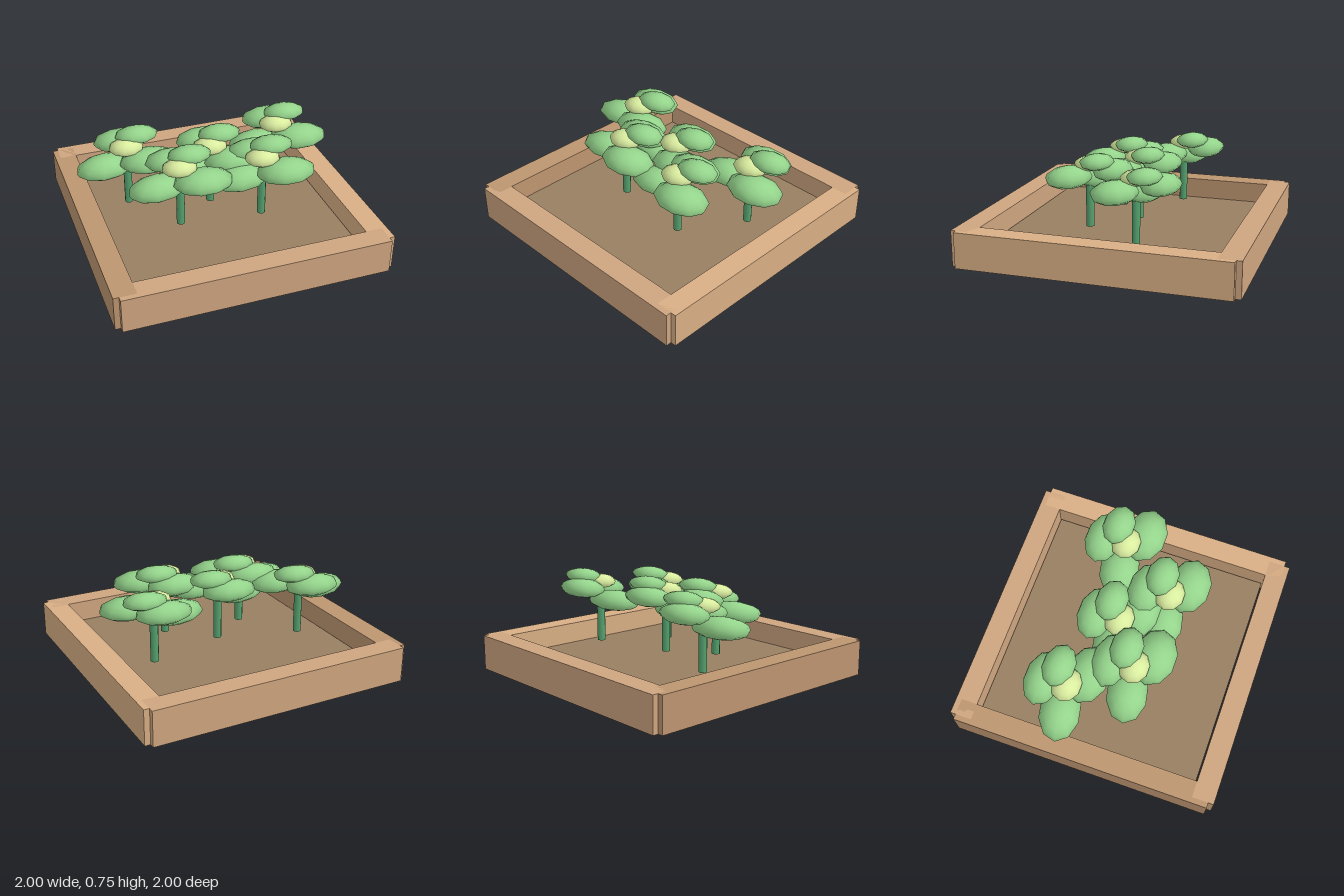
import * as THREE from 'three';

const mat = (color) => new THREE.MeshStandardMaterial({ color });

function add(parent, name, geometry, material, x, y, z) {
  const mesh = new THREE.Mesh(geometry, material);
  mesh.name = name;
  mesh.position.set(x, y, z);
  parent.add(mesh);
  return mesh;
}

// Flattened ball that keeps round, sphere-like shading
function leafGeometry(rx, ry, rz) {
  const geometry = new THREE.SphereGeometry(1, 10, 8);
  geometry.attributes.position.applyMatrix4(new THREE.Matrix4().makeScale(rx, ry, rz));
  return geometry;
}

export function createModel() {
  const model = new THREE.Group();
  model.name = 'planterBed';

  // Soil slab, a little smaller than the frame opening
  add(model, 'soil', new THREE.BoxGeometry(1.665, 0.14, 1.665), mat(0x997f63), 0, 0.07, 0);

  // Four boards whose ends overlap inside the notched corners
  const long = new THREE.BoxGeometry(1.92, 0.257, 0.16);
  const side = new THREE.BoxGeometry(0.16, 0.257, 1.92);
  const wood = mat(0xcea57f);
  add(model, 'frontBoard', long, wood, 0, 0.1615, 0.92);
  add(model, 'backBoard', long, wood, 0, 0.1615, -0.92);
  add(model, 'leftBoard', side, mat(0xd8ae84), 0.92, 0.1615, 0);
  add(model, 'rightBoard', side, mat(0xbd9570), -0.92, 0.1615, 0);

  // Shared plant parts: name, material, offset x, height, offset z, geometry, turn about y
  const stemGeo = new THREE.CylinderGeometry(0.03, 0.03, 0.305, 10);
  const stemMat = mat(0x55a26e);
  const leafMat = mat(0x95d58c);
  const heartMat = mat(0xdaeea0);
  const leaves = [
    ['lowLeaf', leafMat, -0.165, 0.53, 0.005, leafGeometry(0.219, 0.072, 0.148), 0.2],
    ['backLeaf', leafMat, 0, 0.625, -0.172, leafGeometry(0.205, 0.067, 0.137), 0],
    ['frontLeaf', leafMat, 0.137, 0.583, 0.105, leafGeometry(0.217, 0.07, 0.158), 0],
    ['topLeaf', leafMat, 0.1, 0.697, -0.09, leafGeometry(0.16, 0.05, 0.117), 0],
    ['heart', heartMat, 0, 0.657, -0.003, leafGeometry(0.128, 0.051, 0.11), 0],
  ];

  // Five identical plants in a zigzag
  const spots = [[-0.578, -0.222], [-0.3, 0.177], [0, -0.04], [0.297, 0.238], [0.577, -0.193]];
  for (const [x, z] of spots) {
    const plant = new THREE.Group();
    plant.name = 'plant';
    plant.position.set(x, 0, z);
    add(plant, 'stem', stemGeo, stemMat, 0, 0.3475, 0);
    for (const [name, material, dx, y, dz, geometry, turn] of leaves) {
      add(plant, name, geometry, material, dx, y, dz).rotation.y = turn;
    }
    model.add(plant);
  }
  return model;
}
